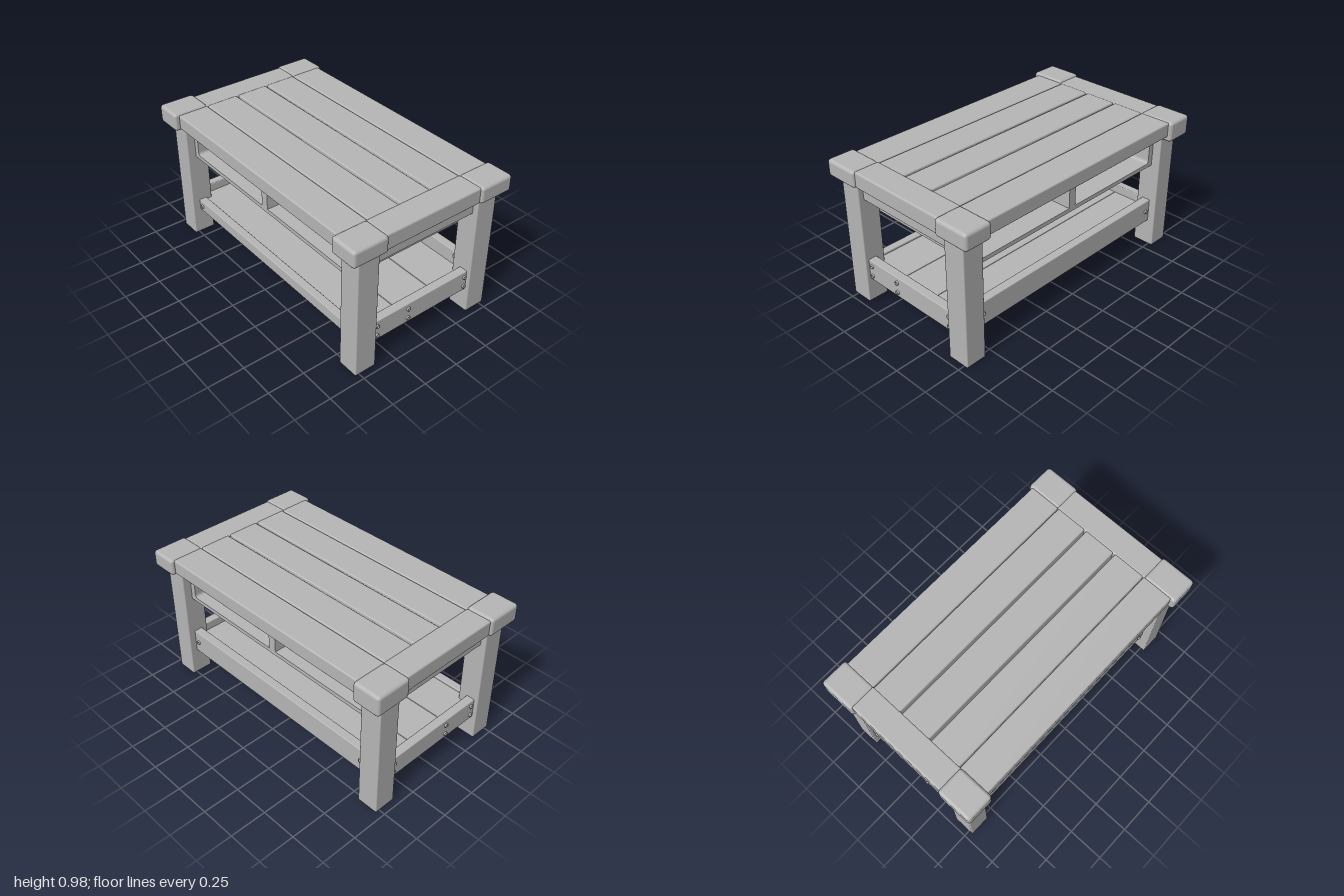
import * as THREE from 'three';
import { RoundedBoxGeometry } from 'three/addons/geometries/RoundedBoxGeometry.js';

export function createModel() {
  const table = new THREE.Group();
  table.name = 'coffeeTable';
  const grey = new THREE.MeshStandardMaterial({ color: 0xb6b6b6 });
  grey.name = 'plain grey';

  const add = (name, geometry, parent = table) => {
    const mesh = new THREE.Mesh(geometry, grey);
    mesh.name = name;
    parent.add(mesh);
    return mesh;
  };
  // Softened timber given by its limits on each axis
  const timber = (name, [x0, x1], [y0, y1], [z0, z1], radius = 0.006) => {
    const g = new RoundedBoxGeometry(x1 - x0, y1 - y0, z1 - z0, 2, radius);
    g.translate((x0 + x1) / 2, (y0 + y1) / 2, (z0 + z1) / 2);
    return add(name, g);
  };
  const span = (a, b, side) => (side > 0 ? [a, b] : [-b, -a]);

  // Bolt head: a dished disc with a raised rim, facing along the given direction
  const boltProfile = [[0, 0.004], [0.008, 0.004], [0.009, 0.009], [0.013, 0.009], [0.015, 0]]
    .map(([r, y]) => new THREE.Vector2(r, y)).reverse();
  const boltGeometry = new THREE.LatheGeometry(boltProfile, 12);
  const up = new THREE.Vector3(0, 1, 0);
  const bolt = (x, y, z, dx, dz) => {
    const mesh = add('bolt', boltGeometry);
    mesh.position.set(x, y, z);
    mesh.quaternion.setFromUnitVectors(up, new THREE.Vector3(dx, 0, dz));
  };

  // Legs and the chunky corner blocks on top of them
  for (const sx of [-1, 1]) {
    for (const sz of [-1, 1]) {
      timber('leg', span(0.81, 0.957, sx), [0, 0.87], span(0.378, 0.53, sz), 0.008);
      const bottom = sx < 0 && sz < 0 ? 0.828 : 0.852;
      const top = sx < 0 && sz > 0 ? 0.977 : 0.967;
      timber('cornerBlock', span(0.806, 1, sx), [bottom, top], span(0.352, 0.6, sz), 0.022);
    }
  }

  // Tabletop: end beams and five long planks
  for (const sx of [-1, 1]) {
    timber('endBeam', span(0.807, 0.984, sx), [0.855, 0.964], [-0.36, 0.36], 0.012);
  }
  const planks = [[-0.575, -0.357], [-0.351, -0.133], [-0.117, 0.104], [0.12, 0.344], [0.35, 0.565]];
  for (const z of planks) timber('topPlank', [-0.815, 0.815], [0.863, 0.963], z, 0.01);

  // Cleats under the plank joints
  for (const x of [-0.76, 0.76]) timber('cleat', [x - 0.012, x + 0.012], [0.845, 0.87], [-0.36, 0.36], 0.003);

  // Open compartment: floor, ends and divider in one section with rounded inner corners
  const s = new THREE.Shape();
  s.moveTo(-0.815, 0.617);
  s.lineTo(0.815, 0.617);
  s.lineTo(0.815, 0.865);
  s.lineTo(0.77, 0.865);
  s.lineTo(0.77, 0.67);
  s.quadraticCurveTo(0.77, 0.645, 0.745, 0.645);
  s.lineTo(0.028, 0.645);
  s.lineTo(0.028, 0.865);
  s.lineTo(-0.028, 0.865);
  s.lineTo(-0.028, 0.645);
  s.lineTo(-0.745, 0.645);
  s.quadraticCurveTo(-0.77, 0.645, -0.77, 0.67);
  s.lineTo(-0.77, 0.865);
  s.lineTo(-0.815, 0.865);
  const tray = new THREE.ExtrudeGeometry(s, { depth: 0.94, bevelEnabled: false, curveSegments: 6 });
  tray.translate(0, 0, -0.47);
  add('compartment', tray);

  for (const sx of [-1, 1]) {
    // Upper apron and lower rail on each end
    timber('endApron', span(0.86, 0.92, sx), [0.738, 0.86], [-0.39, 0.39]);
    timber('endRail', span(0.87, 0.93, sx), [0.167, 0.31], [-0.39, 0.39]);
    for (const z of [0.35, 0.107, -0.36]) {
      for (const y of [0.2, 0.27]) bolt(sx * 0.93, y, z, sx, 0);
    }
    // Bolts in the long rails
    bolt(sx * 0.775, 0.225, 0.475, 0, 1);
    bolt(sx * 0.785, 0.32, -0.42, 0, 1);
    bolt(sx * 0.775, 0.27, -0.48, 0, -1);
  }

  // Long lower rails: low at the front, tall at the back
  timber('frontRail', [-0.82, 0.82], [0.185, 0.265], [0.42, 0.475]);
  timber('backRail', [-0.82, 0.82], [0.185, 0.35], [-0.48, -0.42]);

  // Lower shelf boards
  for (let i = 0; i < 3; i++) {
    const z = -0.425 + i * 0.285;
    timber('shelfBoard', [-0.875, 0.875], [0.22, 0.25], [z, z + 0.283], 0.003);
  }
  return table;
}
